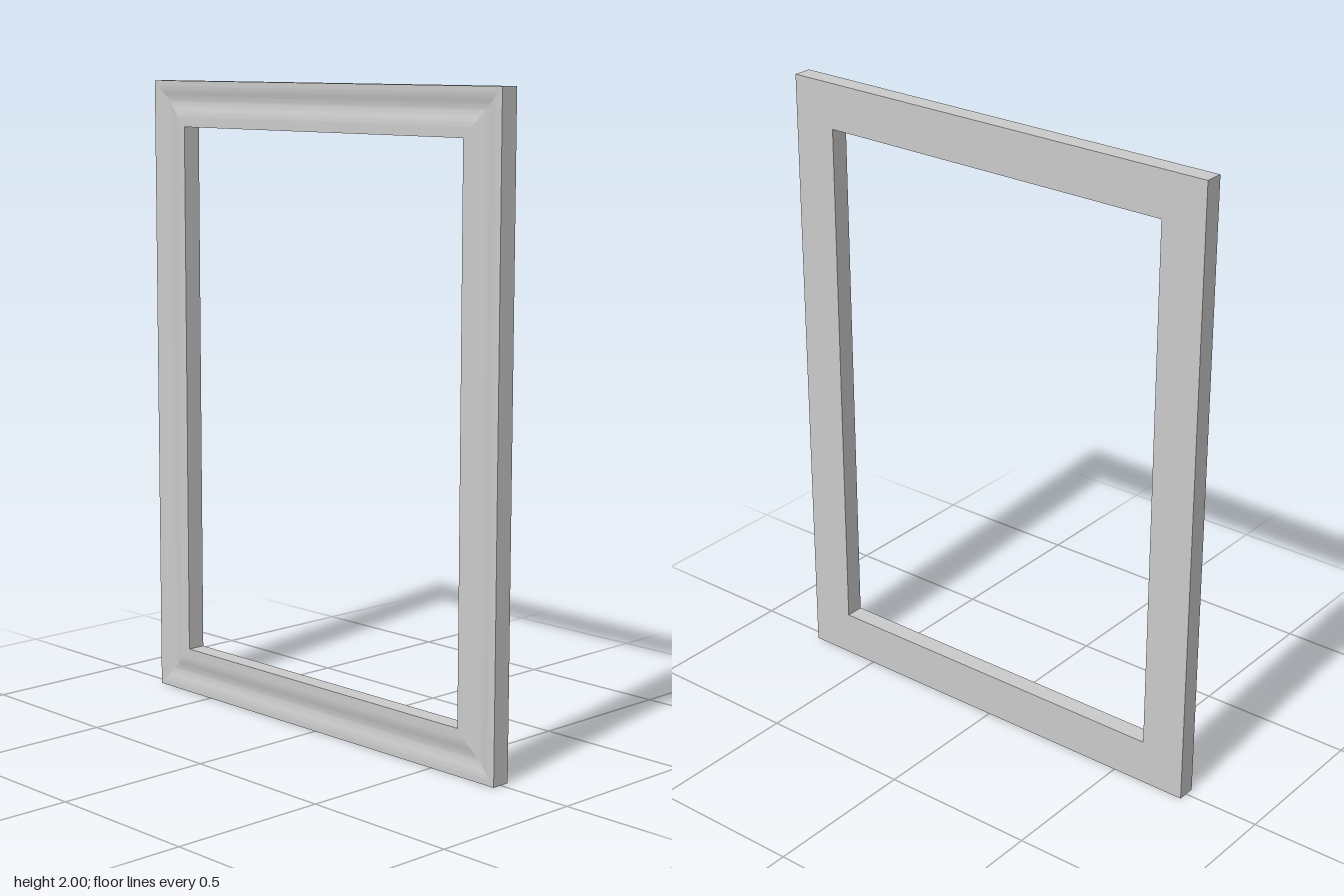
import * as THREE from 'three';
import { toCreasedNormals } from 'three/addons/utils/BufferGeometryUtils.js';

const HALF_W = 0.75, HALF_H = 1, RAIL = 0.145, HALF_D = 0.03;
const GROOVE = { start: 0.015, end: 0.115, depth: 0.008, steps: 16 };

// Closed rail cross-section as [inset from the outer edge, z]
function railProfile() {
  const points = [[0, -HALF_D], [0, HALF_D]];
  for (let i = 0; i <= GROOVE.steps; i++) {
    const t = i / GROOVE.steps;
    const dip = GROOVE.depth * (1 - Math.cos(t * Math.PI * 2)) / 2;
    points.push([GROOVE.start + t * (GROOVE.end - GROOVE.start), HALF_D - dip]);
  }
  points.push([RAIL, HALF_D], [RAIL, -HALF_D]);
  return points;
}

// Rail along x with 45 degree mitred ends, its outer edge at y = offset
function railGeometry(halfLength, offset) {
  const profile = railProfile(), positions = [], indices = [];
  for (const [inset, z] of profile) {
    positions.push(-(halfLength - inset), offset - inset, z);
    positions.push(halfLength - inset, offset - inset, z);
  }
  for (let i = 0; i < profile.length; i++) {
    const a = 2 * i, b = 2 * ((i + 1) % profile.length);
    indices.push(a, b, a + 1, a + 1, b, b + 1);
  }
  const geometry = new THREE.BufferGeometry();
  geometry.setAttribute('position', new THREE.Float32BufferAttribute(positions, 3));
  geometry.setIndex(indices);
  // Flip the winding if the outer face looks inwards
  geometry.computeVertexNormals();
  if (geometry.attributes.normal.getY(0) < 0) geometry.setIndex(indices.reverse());
  return toCreasedNormals(geometry, Math.PI / 5);
}

export function createModel() {
  const frame = new THREE.Group();
  frame.name = 'pictureFrame';
  const material = new THREE.MeshStandardMaterial({ color: 0xcccccc });
  const short = railGeometry(HALF_W, HALF_H);
  const long = railGeometry(HALF_H, HALF_W);

  // Four mitred rails, turned around the centre
  ['topRail', 'leftRail', 'bottomRail', 'rightRail'].forEach((name, i) => {
    const rail = new THREE.Mesh(i % 2 ? long : short, material);
    rail.name = name;
    rail.rotation.z = -i * Math.PI / 2;
    rail.position.y = HALF_H;
    frame.add(rail);
  });
  return frame;
}
